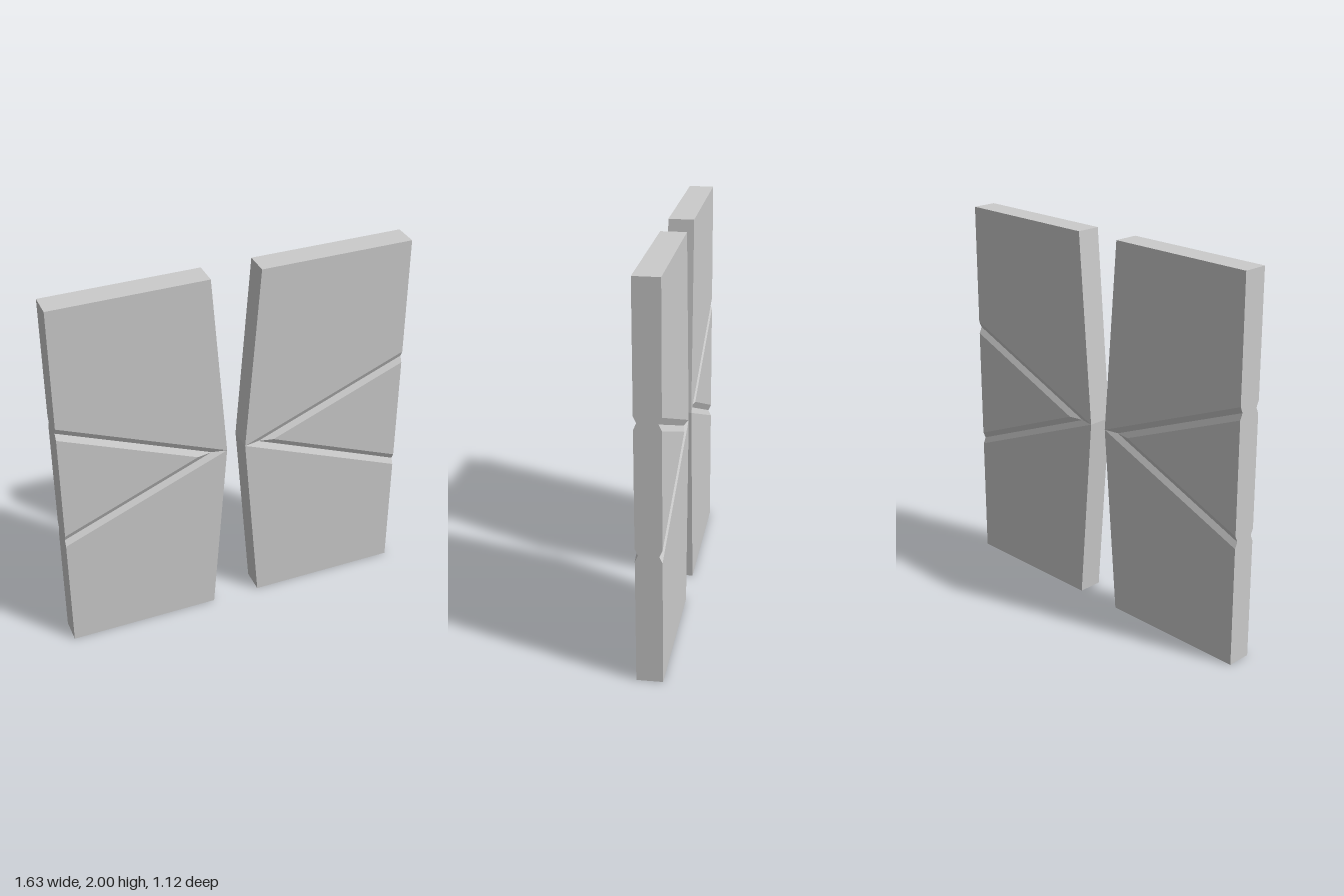
import * as THREE from 'three';

const HALF_T = 0.065;    // half the slab thickness
const DEPTH = 0.015;     // groove depth
const INNER = 0.05;      // inner edge at mid height
const INNER_TOP = 0.13;  // inner edge at top and bottom
const OUTER = 0.932;
const SLOPE = 0.41;      // rise of the grooves
const GROOVE_STEP = 0.08; // groove half width measured along the slab

// One eighth of a slab (outer, upper, front), mirrored by the signs
function addEighth(out, sx, sy, sz) {
  const flip = sx * sy * sz < 0;
  const poly = (...pts) => {
    for (let i = 1; i < pts.length - 1; i++) {
      const tri = flip ? [pts[0], pts[i + 1], pts[i]] : [pts[0], pts[i], pts[i + 1]];
      tri.forEach(([x, y, z]) => out.push(sx * x, 1 + sy * y, sz * z));
    }
  };
  // A groove line starts on the mid height and runs out to the outer end
  const line = (x, z) => [[x, 0, z], [OUTER, SLOPE * (OUTER - x), z]];
  const topIn = [INNER_TOP, 1, HALF_T];
  const topOut = [OUTER, 1, HALF_T];
  const midOut = [OUTER, 0, HALF_T];
  const [upIn, upOut] = line(INNER, HALF_T);
  const [valleyIn, valleyOut] = line(INNER + GROOVE_STEP, HALF_T - DEPTH);
  const [lowIn, lowOut] = line(INNER + 2 * GROOVE_STEP, HALF_T);

  // Flat face, two groove walls, and the wedge between the grooves
  poly(topIn, upIn, upOut, topOut);
  poly(upIn, valleyIn, valleyOut, upOut);
  poly(valleyIn, lowIn, lowOut, valleyOut);
  poly(lowIn, midOut, lowOut);

  // Rim, from the face back to the middle plane
  const rim = [midOut, lowOut, valleyOut, upOut, topOut, topIn, upIn];
  for (let i = 0; i < rim.length - 1; i++) {
    const p = rim[i], q = rim[i + 1];
    poly(p, [p[0], p[1], 0], [q[0], q[1], 0], q);
  }
}

function slab(side, name) {
  const positions = [];
  for (const sy of [1, -1]) for (const sz of [1, -1]) addEighth(positions, side, sy, sz);
  const geometry = new THREE.BufferGeometry();
  geometry.setAttribute('position', new THREE.Float32BufferAttribute(positions, 3));
  geometry.computeVertexNormals();
  const mesh = new THREE.Mesh(geometry,
    new THREE.MeshStandardMaterial({ color: 0xcccccc, flatShading: true }));
  mesh.name = name;
  return mesh;
}

export function createModel() {
  const model = new THREE.Group();
  model.name = 'groovedSlabPair';
  const pair = new THREE.Group();
  pair.name = 'slabs';
  pair.add(slab(1, 'leftSlab'), slab(-1, 'rightSlab'));
  // The pair stands turned about the vertical
  pair.rotation.y = THREE.MathUtils.degToRad(33);
  model.add(pair);
  return model;
}
